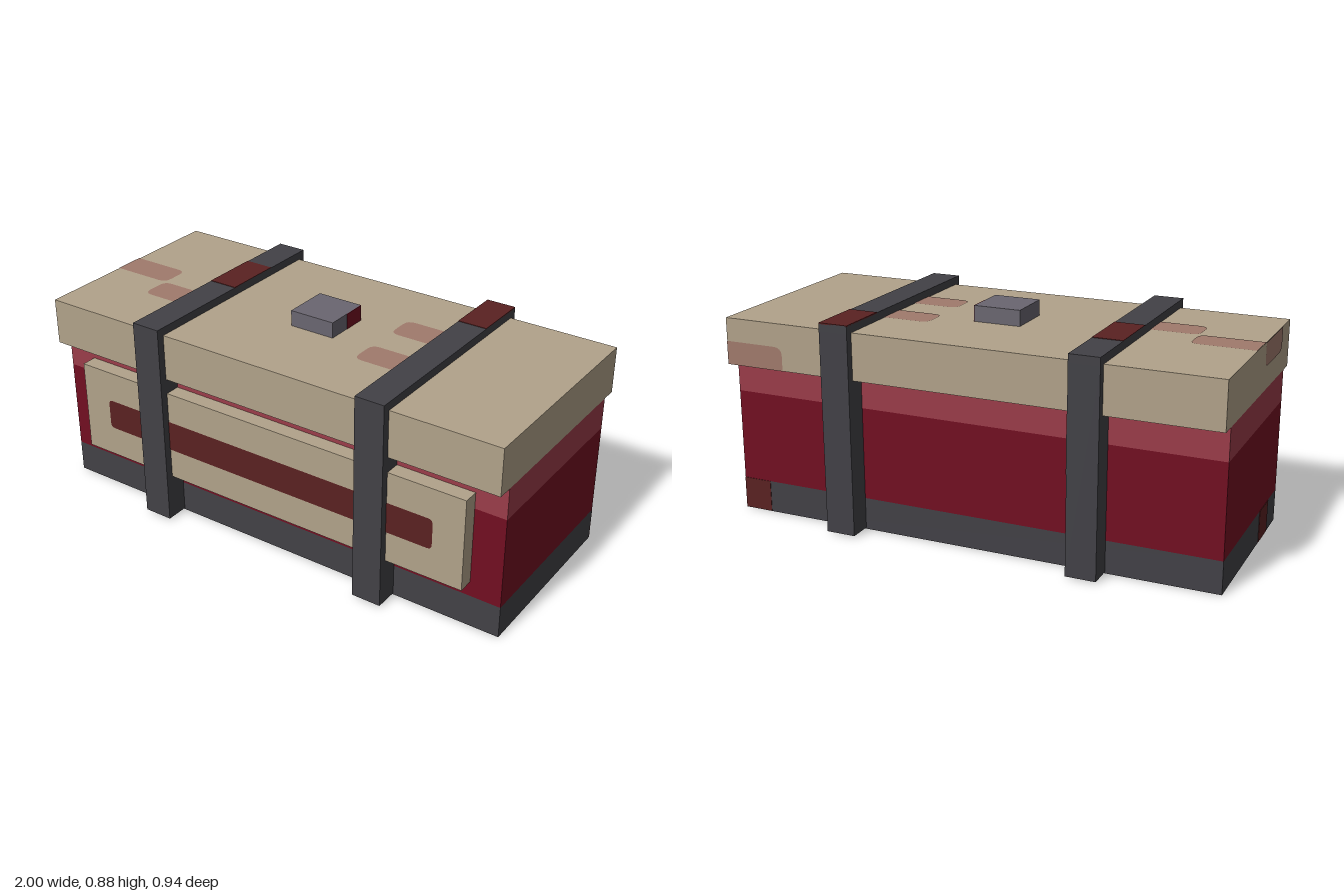
import * as THREE from 'three';

const mat = (name, color) => {
  const m = new THREE.MeshStandardMaterial({ color });
  m.name = name;
  return m;
};

export function createModel() {
  const root = new THREE.Group();
  root.name = 'strappedChest';
  const tan = mat('tan', 0xb1a28a), charcoal = mat('charcoal', 0x424146);
  const crimson = mat('crimson', 0x720e21), rose = mat('rose', 0x9a3c49);
  const maroon = mat('maroon', 0x5a2121), stain = mat('stain', 0xa07a6c);
  const grey = mat('grey', 0x6a6670);

  // Box given by its extents on each axis
  function box(name, material, [x0, x1], [y0, y1], [z0, z1], parent = root) {
    const mesh = new THREE.Mesh(new THREE.BoxGeometry(x1 - x0, y1 - y0, z1 - z0), material);
    mesh.position.set((x0 + x1) / 2, (y0 + y1) / 2, (z0 + z1) / 2);
    mesh.name = name;
    parent.add(mesh);
    return mesh;
  }

  // Flat rounded plate facing +z; radii run lower left, lower right, upper right, upper left
  function plate(name, material, w, h, [a, b, c, d], position, rotation = [0, 0, 0]) {
    const x = w / 2, y = h / 2;
    const s = new THREE.Shape();
    s.moveTo(-x + a, -y).lineTo(x - b, -y).quadraticCurveTo(x, -y, x, -y + b);
    s.lineTo(x, y - c).quadraticCurveTo(x, y, x - c, y);
    s.lineTo(-x + d, y).quadraticCurveTo(-x, y, -x, y - d);
    s.lineTo(-x, -y + a).quadraticCurveTo(-x, -y, -x + a, -y);
    const mesh = new THREE.Mesh(new THREE.ShapeGeometry(s, 4), material);
    mesh.position.set(...position);
    mesh.rotation.set(...rotation);
    mesh.name = name;
    root.add(mesh);
  }

  // Body in three colour bands, and the overhanging lid
  const bodyX = [-1, 1], bodyZ = [-0.375, 0.375];
  box('base', charcoal, bodyX, [0, 0.13], bodyZ);
  box('bodyLower', crimson, bodyX, [0.13, 0.5], bodyZ);
  box('bodyUpper', rose, bodyX, [0.5, 0.626], bodyZ);
  box('lid', tan, bodyX, [0.626, 0.813], [-0.4375, 0.4375]);

  // Front panel with its stripe
  box('frontPanel', tan, [-0.875, 0.875], [0.19, 0.565], [0.375, 0.4375]);
  plate('panelStripe', maroon, 1.5, 0.125, [0.02, 0.02, 0.02, 0.02], [0, 0.378, 0.4395]);

  // Straps: front and back uprights joined over the lid
  for (const side of [-1, 1]) {
    const strap = new THREE.Group();
    strap.name = side > 0 ? 'leftStrap' : 'rightStrap';
    const x = [side * 0.5 - 0.06, side * 0.5 + 0.06];
    box('strapFront', charcoal, x, [0.005, 0.813], [0.375, 0.469], strap);
    box('strapBack', charcoal, x, [0.005, 0.813], [-0.469, -0.375], strap);
    box('strapTop', charcoal, x, [0.813, 0.845], [-0.469, 0.469], strap);
    root.add(strap);
  }

  // Knob, with the back half of its left face in crimson
  box('knob', grey, [-0.095, 0.095], [0.813, 0.876], [-0.095, 0.095]);
  box('knobSidePatch', crimson, [0.094, 0.097], [0.813, 0.876], [-0.094, 0]);

  // Worn patches on the straps
  box('strapPatch', maroon, [-0.56, -0.44], [0.842, 0.847], [-0.24, 0]);
  box('strapPatch', maroon, [0.44, 0.56], [0.842, 0.847], [-0.469, -0.24]);
  box('strapPatch', maroon, [-0.442, -0.438], [0.4, 0.625], [-0.468, -0.375]);

  // Worn patches on the base: back, right end and underside
  box('basePatch', maroon, [0.88, 1], [0.002, 0.13], [-0.377, -0.373]);
  box('basePatch', maroon, [-1.002, -0.998], [0.002, 0.13], [0.125, 0.25]);
  plate('basePatch', maroon, 0.125, 0.25, [0.04, 0, 0, 0.04], [0.937, -0.001, 0], [Math.PI / 2, 0, 0]);

  // Stains on the lid top
  const up = [-Math.PI / 2, 0, 0], r = 0.035, top = 0.815;
  plate('lidStain', stain, 0.25, 0.125, [0, r, r, 0], [-0.875, top, 0], up);
  plate('lidStain', stain, 0.19, 0.125, [r, 0, 0, r], [-0.655, top, 0.125], up);
  for (const z of [-0.125, 0.125]) {
    plate('lidStain', stain, 0.19, 0.125, [r, 0, 0, r], [0.345, top, z], up);
  }

  // Stains on the lid back and right end
  plate('lidStain', stain, 0.25, 0.094, [0, 0, r, 0], [0.875, 0.673, -0.4395], [0, Math.PI, 0]);
  plate('lidStain', stain, 0.25, 0.094, [r, r, 0, 0], [-1.002, 0.766, 0.19], [0, -Math.PI / 2, 0]);

  return root;
}
